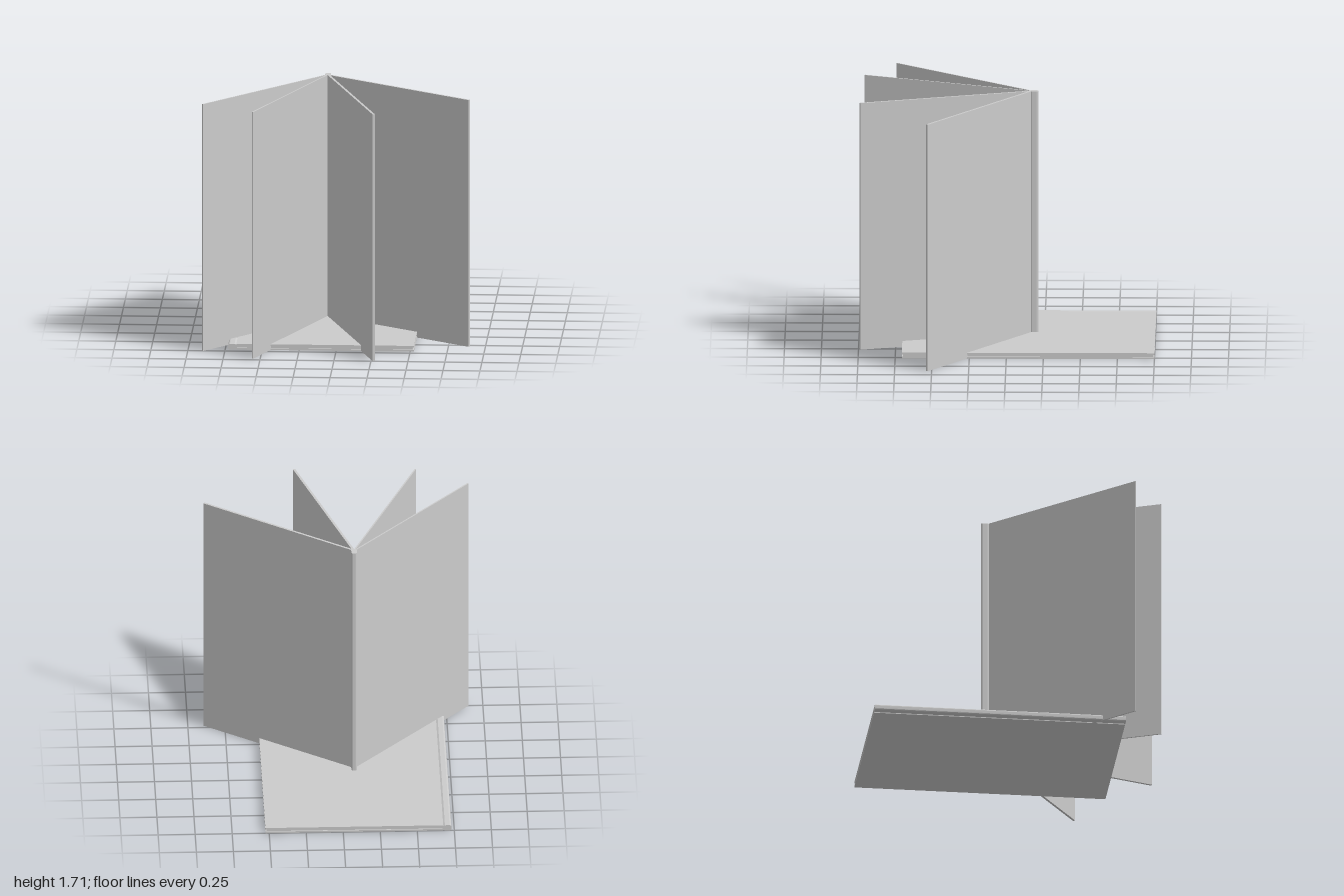
import * as THREE from 'three';

const HEIGHT = 1.71;
const material = new THREE.MeshStandardMaterial({ color: 0xcccccc, flatShading: true });

function add(parent, name, geometry, x = 0, y = 0, z = 0) {
  const mesh = new THREE.Mesh(geometry, material);
  mesh.name = name;
  mesh.position.set(x, y, z);
  parent.add(mesh);
  return mesh;
}

// Spine bar along +z: rounded on its outer (-x) side, pinched where it meets the boards
function spineGeometry(length, width, depth) {
  const h = width / 2;
  const s = new THREE.Shape();
  s.moveTo(depth, -h * 0.6);
  s.lineTo(depth, h * 0.6);
  s.lineTo(depth * 0.72, h);
  s.lineTo(depth * 0.2, h);
  s.quadraticCurveTo(0, h * 0.9, 0, h * 0.4);
  s.lineTo(0, -h * 0.4);
  s.quadraticCurveTo(0, -h * 0.9, depth * 0.2, -h);
  s.lineTo(depth * 0.72, -h);
  s.closePath();
  return new THREE.ExtrudeGeometry(s, { depth: length, bevelEnabled: false, curveSegments: 4 });
}

// Folder lying closed on the ground
function closedFolder() {
  const g = new THREE.Group();
  g.name = 'closedFolder';
  const x0 = -0.675, x1 = 0.525, z0 = -1, z1 = 0.705;
  const w = x1 - x0, d = z1 - z0, cx = (x0 + x1) / 2, cz = (z0 + z1) / 2;
  add(g, 'bottomCover', new THREE.BoxGeometry(w, 0.012, d), cx, 0.006, cz);
  add(g, 'topCover', new THREE.BoxGeometry(w, 0.012, d), cx, 0.034, cz);
  add(g, 'innerBoards', new THREE.BoxGeometry(w - 0.008, 0.016, d - 0.016), cx - 0.004, 0.02, cz);
  add(g, 'closedSpine', spineGeometry(d, 0.04, 0.06), -0.73, 0.02, z0);
  return g;
}

// Folder standing upright with its boards fanned out from the spine
function standingFolder() {
  const g = new THREE.Group();
  g.name = 'standingFolder';
  const px = -0.1, pz = -0.155;
  const spine = add(g, 'standingSpine', spineGeometry(HEIGHT, 0.038, 0.06), px, 0, -0.21);
  // turn the profile so its depth runs to +z and its length runs up
  spine.quaternion.setFromRotationMatrix(new THREE.Matrix4().makeBasis(
    new THREE.Vector3(0, 0, 1), new THREE.Vector3(1, 0, 0), new THREE.Vector3(0, 1, 0)));

  // root x offset, tip x, tip z, thickness
  const boards = [
    [-0.014, -0.9, 0.752, 0.01],
    [-0.005, -0.552, 0.965, 0.01],
    [0.005, 0.268, 0.99, 0.016],
    [0.014, 0.89, 0.533, 0.016],
  ];
  boards.forEach(([offset, tx, tz, t], i) => {
    const dx = tx - px - offset, dz = tz - pz;
    const board = add(g, 'board' + (i + 1), new THREE.BoxGeometry(Math.hypot(dx, dz), HEIGHT, t),
      px + offset + dx / 2, HEIGHT / 2, pz + dz / 2);
    board.rotation.y = -Math.atan2(dz, dx);
  });
  return g;
}

export function createModel() {
  const model = new THREE.Group();
  model.name = 'folders';
  model.add(closedFolder(), standingFolder());
  return model;
}
